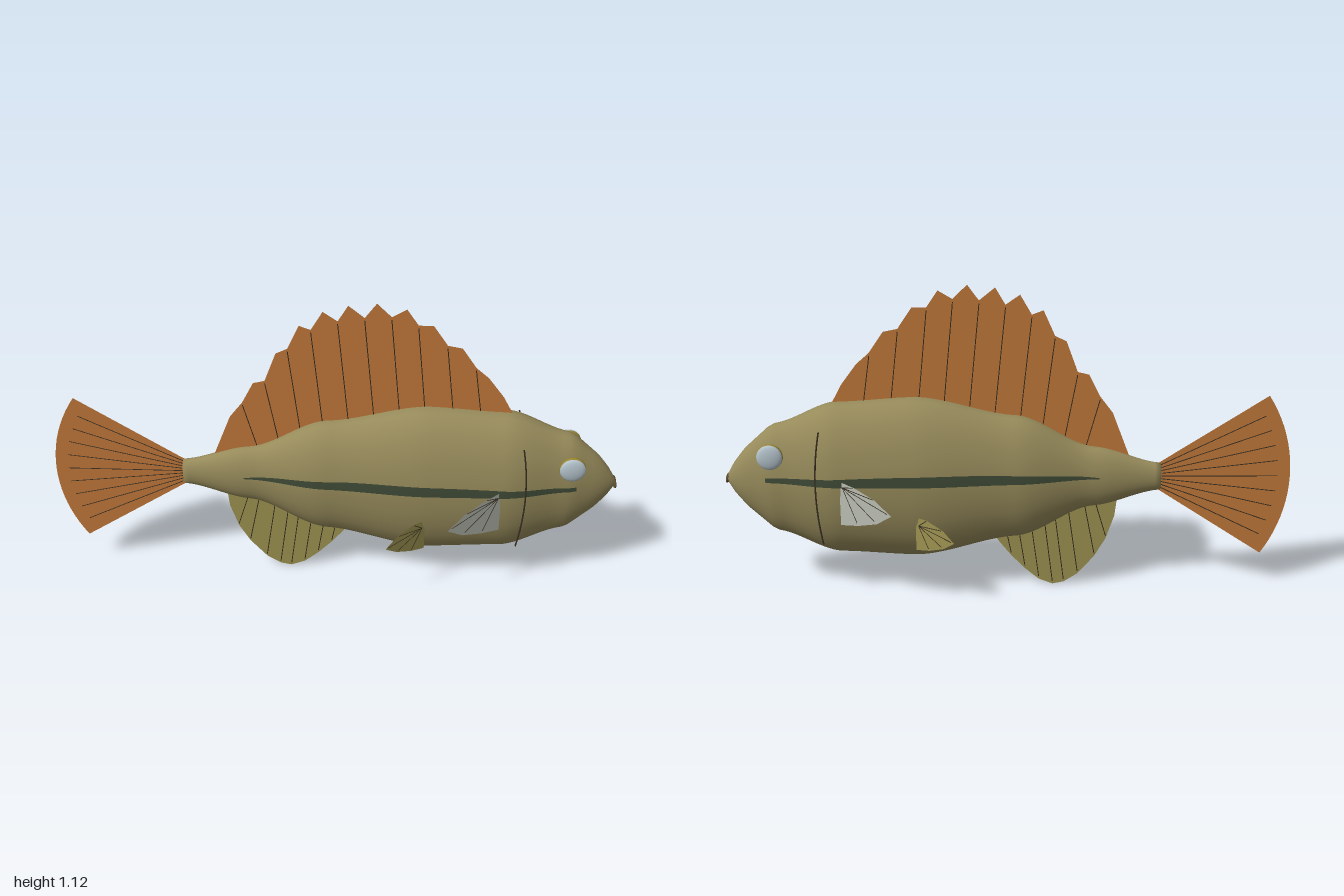
import * as THREE from 'three';

const mat = (name, color, side = THREE.FrontSide) => {
  const m = new THREE.MeshStandardMaterial({ color, side });
  m.name = name;
  return m;
};

// Body stations: x, top y, bottom y, half width
const STATIONS = [
  [-0.54, 0.472, 0.372, 0.027], [-0.3, 0.535, 0.312, 0.055], [-0.03, 0.652, 0.197, 0.105],
  [0.32, 0.72, 0.125, 0.135], [0.6, 0.703, 0.14, 0.132], [0.83, 0.622, 0.222, 0.085],
  [0.93, 0.53, 0.315, 0.05], [0.975, 0.47, 0.372, 0.026], [0.99, 0.44, 0.4, 0.012],
];

// Size of the body at x, eased between stations
function bodyAt(x) {
  let i = 0;
  while (i < STATIONS.length - 2 && x > STATIONS[i + 1][0]) i++;
  const a = STATIONS[i], b = STATIONS[i + 1];
  const t = THREE.MathUtils.clamp((x - a[0]) / (b[0] - a[0]), 0, 1);
  const eased = THREE.MathUtils.lerp(t, t * t * (3 - 2 * t), i < 5 ? 0.75 : 0);
  const [top, bottom, w] = [1, 2, 3].map((k) => THREE.MathUtils.lerp(a[k], b[k], eased));
  return { cy: (top + bottom) / 2, h: (top - bottom) / 2, w };
}

function indexed(pos, idx) {
  const g = new THREE.BufferGeometry();
  g.setAttribute('position', new THREE.Float32BufferAttribute(pos, 3));
  g.setIndex(idx);
  g.computeVertexNormals();
  return g;
}

function bodyGeometry(rings = 72, sides = 28) {
  const pos = [], idx = [];
  for (let i = 0; i <= rings; i++) {
    const x = -0.54 + (1.53 * i) / rings, { cy, h, w } = bodyAt(x);
    for (let j = 0; j < sides; j++) {
      const a = (j / sides) * Math.PI * 2;
      pos.push(x, cy + h * Math.cos(a), w * Math.sin(a));
      const k = (j + 1) % sides, p = i * sides;
      if (i < rings) idx.push(p + j, p + k, p + sides + j, p + k, p + sides + k, p + sides + j);
    }
  }
  const tail = pos.length / 3, nose = tail + 1, last = rings * sides;
  pos.push(-0.54, 0.422, 0, 0.993, 0.42, 0);
  for (let j = 0; j < sides; j++) {
    const k = (j + 1) % sides;
    idx.push(tail, k, j, nose, last + j, last + k);
  }
  return indexed(pos, idx);
}

// Tapered band lying just off the flank; side is +1 or -1
function stripeGeometry(side, n = 48) {
  const pos = [], idx = [];
  for (let i = 0; i <= n; i++) {
    const t = i / n, x = -0.32 + 1.17 * t, { cy, h, w } = bodyAt(x);
    const low = 0.433, high = 0.437 + 0.03 * Math.sin(Math.PI * Math.pow(t, 0.85)) + 0.012 * t;
    for (const y of [low, (low + high) / 2, high]) {
      const s = Math.sqrt(Math.max(0, 1 - ((y - cy) / h) ** 2));
      pos.push(x, y, side * (w * s + 0.004));
    }
    if (i < n) for (const q of [0, 1]) {
      const p = i * 3 + q;
      idx.push(...(side > 0 ? [p, p + 3, p + 1, p + 1, p + 3, p + 4] : [p, p + 1, p + 3, p + 1, p + 4, p + 3]));
    }
  }
  return indexed(pos, idx);
}

export function createModel() {
  const model = new THREE.Group();
  const D = THREE.DoubleSide;
  const olive = mat('olive skin', 0x978b5b);
  const orange = mat('orange fin', 0xc0783a, D);
  const yellowOlive = mat('yellow olive fin', 0x9c9150, D);
  const silver = mat('silver fin', 0xb9bcb2, D);
  const green = mat('dark green stripe', 0x3f4a36, D);
  const dark = mat('dark line', 0x3a3022);
  const gold = mat('gold eye rim', 0x988530);
  const pale = mat('pale eye', 0xb4c3cb);
  const mouthBrown = mat('mouth brown', 0x5c4a30);

  const add = (name, geometry, material, parent = model) => {
    const m = new THREE.Mesh(geometry, material);
    m.name = name;
    parent.add(m);
    return m;
  };
  const V = (x, y, z = 0) => new THREE.Vector3(x, y, z);
  const flat = (pts) => new THREE.ShapeGeometry(new THREE.Shape(pts.map((p) => new THREE.Vector2(...p))), 24);
  const ray = (name, a, b, parent, r = 0.0016) =>
    add(name, new THREE.TubeGeometry(new THREE.LineCurve3(a, b), 1, r, 4), dark, parent);

  add('body', bodyGeometry(), olive);

  // Scalloped dorsal fin with rays
  const crest = [
    [-0.43, 0.49], [-0.365, 0.66], [-0.32, 0.72], [-0.28, 0.8], [-0.24, 0.81], [-0.2, 0.92], [-0.16, 0.94],
    [-0.12, 1.03], [-0.08, 1.015], [-0.04, 1.085], [0.01, 1.05], [0.045, 1.11], [0.1, 1.065], [0.14, 1.12],
    [0.19, 1.07], [0.24, 1.1], [0.28, 1.04], [0.33, 1.04], [0.38, 0.965], [0.43, 0.955], [0.48, 0.88],
    [0.525, 0.84], [0.58, 0.765], [0.617, 0.695],
  ];
  add('dorsalFin', flat([...crest, [0.6, 0.6], [0, 0.5], [-0.4, 0.42]]), orange);
  for (let i = 2; i < crest.length - 2; i += 2) {
    const [x, y] = crest[i];
    ray('dorsalRay', V(x, y - 0.01), V(x + 0.05, bodyAt(x + 0.05).cy + 0.1));
  }

  // Fan-shaped tail fin
  const fan = (a, r) => [-0.455 - r * Math.cos(a), 0.422 + r * Math.sin(a)];
  const arc = [];
  for (let i = 0; i <= 20; i++) arc.push(fan(-0.583 + (1.166 * i) / 20, 0.545));
  add('tailFin', flat([...arc, [-0.52, 0.465], [-0.52, 0.379]]), orange);
  for (let i = 1; i < 10; i++) {
    const a = -0.583 + (1.166 * i) / 10;
    ray('tailRay', V(...fan(a, 0.09)), V(...fan(a, 0.5)));
  }

  // Rounded anal fin
  const anal = [
    [-0.39, 0.36], [-0.38, 0.27], [-0.35, 0.18], [-0.31, 0.11], [-0.25, 0.04], [-0.2, 0.008], [-0.16, 0],
    [-0.11, 0.02], [-0.06, 0.062], [-0.01, 0.115], [0.03, 0.165], [0.06, 0.21],
  ];
  add('analFin', flat([...anal, [0, 0.3], [-0.2, 0.38]]), yellowOlive);
  for (const [x, y] of anal.slice(2, 10)) ray('analRay', V(x, y + 0.01), V(x + 0.04, bodyAt(x).cy - 0.1));

  // Paired fins are drawn along local x, then swung outwards and back
  function pairedFin(name, side, material, root, length, swing, root2, outline) {
    const g = new THREE.Group();
    g.name = name;
    g.position.set(root[0], 0, side * root[1]);
    g.rotation.y = side > 0 ? Math.PI + swing : Math.PI - swing;
    add(name + 'Web', flat(outline.map(([u, y]) => [u * length, y])), material, g);
    for (const [u, y] of outline.slice(1, -1))
      ray(name + 'Ray', V(0.012, root2), V(u * length * 0.93, root2 + (y - root2) * 0.93), g, 0.0015);
    model.add(g);
  }

  for (const side of [1, -1]) {
    const label = side > 0 ? 'front' : 'back';
    add(label + 'Stripe', stripeGeometry(side), green);

    pairedFin(label + 'PectoralFin', side, silver, [0.585, 0.13], 0.225, 0.6, 0.435,
      [[0, 0.455], [0.3, 0.446], [0.7, 0.42], [1, 0.378], [0.72, 0.335], [0.35, 0.308], [0, 0.292]]);
    pairedFin(label + 'PelvicFin', side, yellowOlive, [0.325, 0.117], 0.168, 0.62, 0.285,
      [[0, 0.315], [0.3, 0.314], [0.72, 0.292], [1, 0.257], [0.72, 0.225], [0.35, 0.202], [0, 0.19]]);

    // Eye: gold rim with a pale dome on the outside
    const rim = add(label + 'EyeRim', new THREE.SphereGeometry(0.046, 24, 16), gold);
    rim.position.set(0.828, 0.53, side * 0.084);
    rim.scale.z = 0.45;
    const eye = add(label + 'Eye', new THREE.SphereGeometry(0.045, 24, 16), pale);
    eye.position.set(0.828, 0.53, side * 0.093);
    eye.scale.z = 0.3;

    // Gill line
    const gill = new THREE.QuadraticBezierCurve3(
      V(0.65, 0.635, side * 0.123), V(0.69, 0.425, side * 0.123), V(0.65, 0.215, side * 0.123));
    add(label + 'GillLine', new THREE.TubeGeometry(gill, 20, 0.003, 6), dark);
  }

  // Lips
  const mouth = add('mouth', new THREE.TorusGeometry(0.03, 0.004, 8, 28), mouthBrown);
  mouth.position.set(0.993, 0.42, 0);
  mouth.rotation.y = Math.PI / 2;
  mouth.scale.y = 0.4;

  return model;
}
